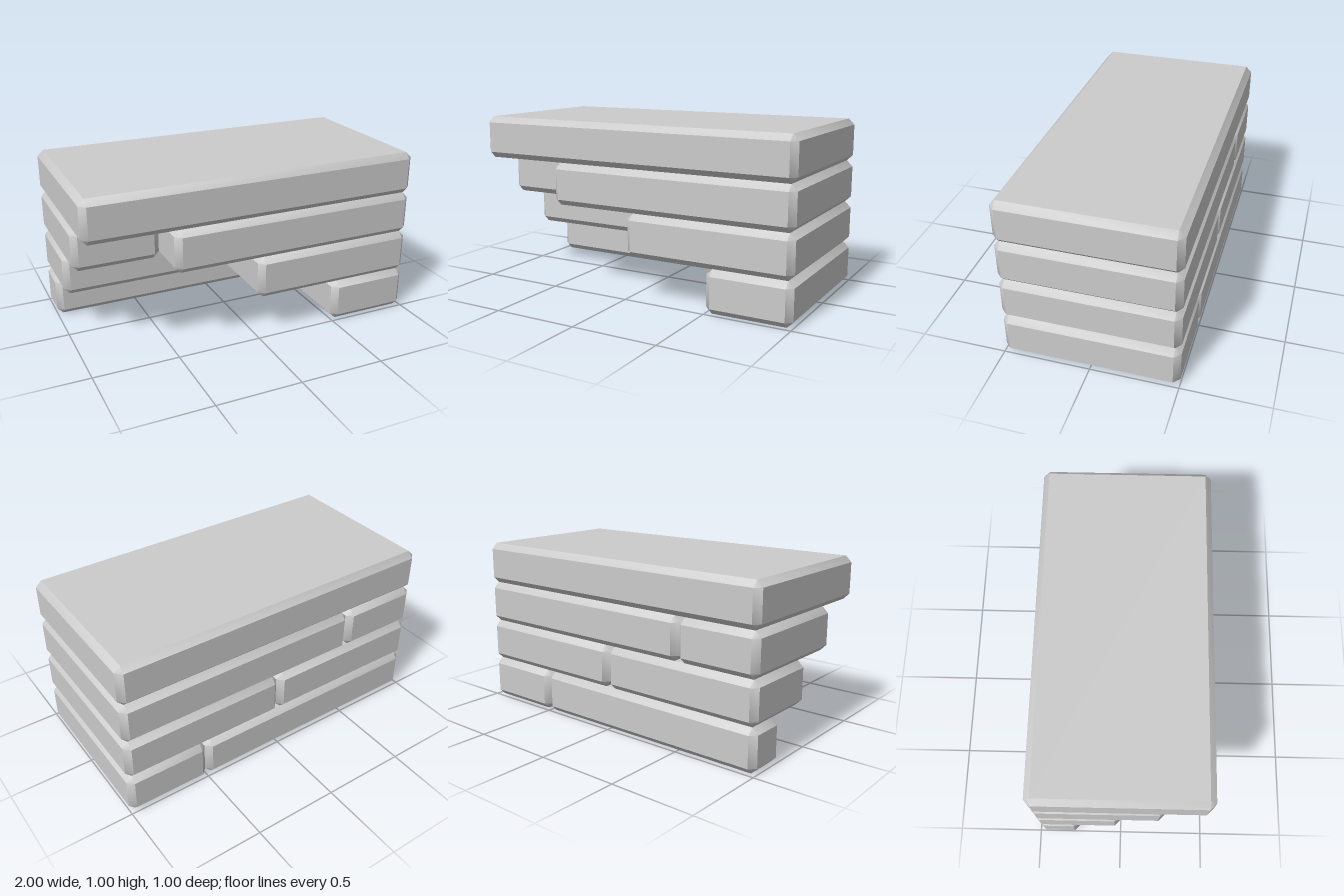
import * as THREE from 'three';
import { ConvexGeometry } from 'three/addons/geometries/ConvexGeometry.js';
import { toCreasedNormals } from 'three/addons/utils/BufferGeometryUtils.js';

const BEVEL = 0.035;
const ROW = 0.25; // height of one course

// Box with chamfered edges: each corner becomes three points, one per adjoining face.
function chamferedBox(w, h, d) {
  const points = [];
  for (const sx of [-1, 1]) for (const sy of [-1, 1]) for (const sz of [-1, 1]) {
    for (let axis = 0; axis < 3; axis++) {
      const inset = [BEVEL, BEVEL, BEVEL];
      inset[axis] = 0;
      points.push(new THREE.Vector3(
        sx * (w / 2 - inset[0]),
        sy * (h / 2 - inset[1]),
        sz * (d / 2 - inset[2])
      ));
    }
  }
  // Chamfers blend into the corners, while the flat faces stay crisp.
  return toCreasedNormals(new ConvexGeometry(points), THREE.MathUtils.degToRad(40));
}

export function createModel() {
  const model = new THREE.Group();
  model.name = 'steppedStoneBlock';
  const stone = new THREE.MeshStandardMaterial({ color: 0xcccccc });

  // Stone spanning x0..x1, reaching forward from the back plane by depth.
  function addStone(name, row, x0, x1, depth) {
    const mesh = new THREE.Mesh(chamferedBox(x1 - x0, ROW, depth), stone);
    mesh.name = name;
    mesh.position.set((x0 + x1) / 2, (row + 0.5) * ROW, -0.5 + depth / 2);
    model.add(mesh);
  }

  // Three L-shaped courses: each row steps out further to the side and the front.
  for (let row = 0; row < 3; row++) {
    const joint = 0.5 - row * 0.5;
    addStone(`sideStone${row + 1}`, row, joint, 1, 1);
    addStone(`backStone${row + 1}`, row, -1, joint, (row + 1) * 0.25);
  }

  // Full slab on top
  addStone('topSlab', 3, -1, 1, 1);

  return model;
}
